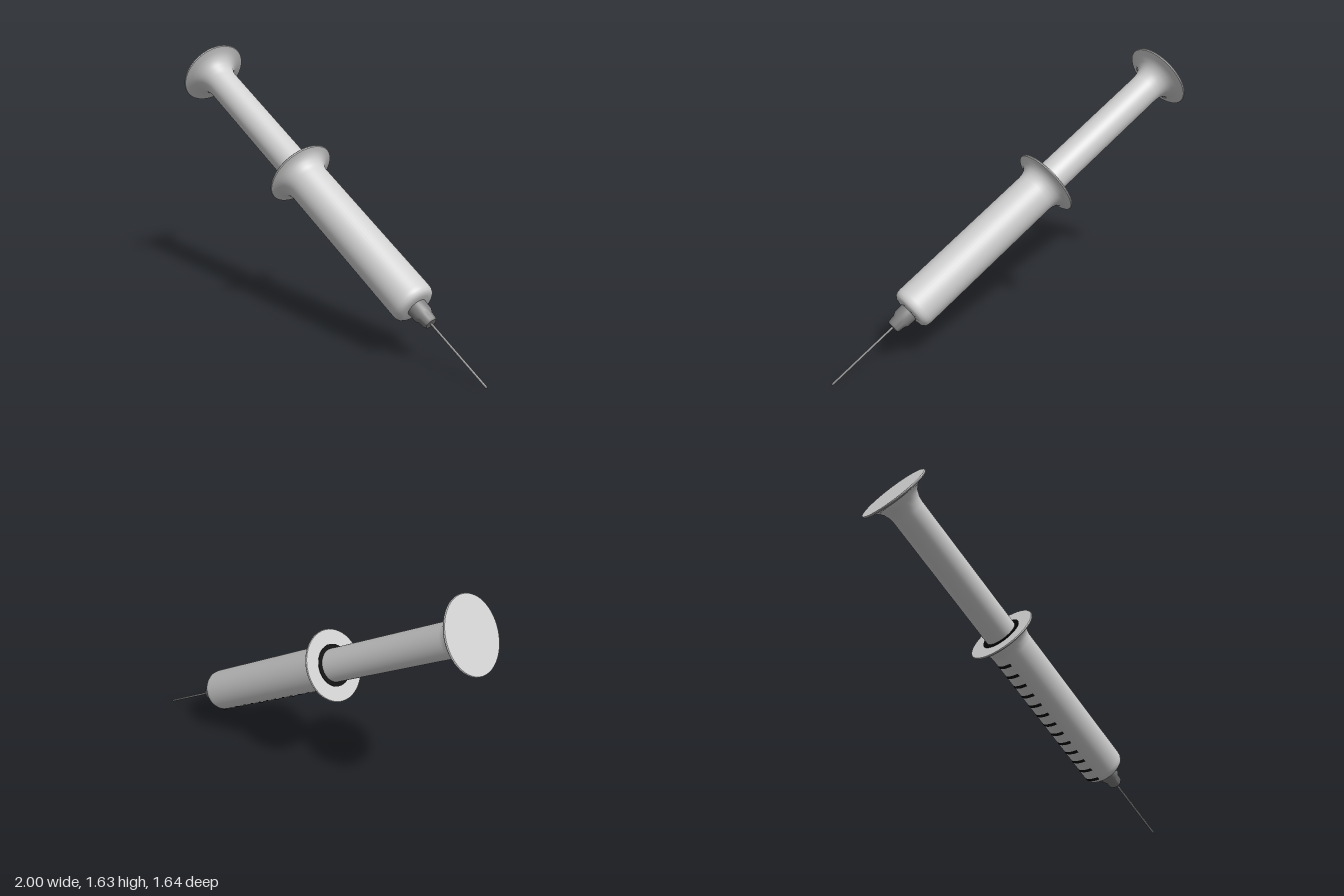
import * as THREE from 'three';
import { toCreasedNormals } from 'three/addons/utils/BufferGeometryUtils.js';

const flat = (name, color) => {
  const m = new THREE.MeshStandardMaterial({ color });
  m.name = name;
  return m;
};

export function createModel() {
  const plastic = flat('lightPlastic', 0xd0d0d0);
  const metal = flat('greyMetal', 0x808080);
  const black = flat('black', 0x050505);

  const group = new THREE.Group();
  group.name = 'syringe';

  const add = (name, geometry, material, parent = group) => {
    const mesh = new THREE.Mesh(geometry, material);
    mesh.name = name;
    parent.add(mesh);
    return mesh;
  };
  // Turned part: [radius, distance from needle tip] pairs, from tip to thumb
  const turned = (profile, segments = 48) => toCreasedNormals(
    new THREE.LatheGeometry(profile.map(([r, t]) => new THREE.Vector2(r, t)), segments), 0.7);

  // Needle and its hub
  add('needle', turned([[0, 0], [0.007, 0.01], [0.007, 0.5]], 12), metal);
  add('hub', turned([
    [0, 0.462], [0.034, 0.462], [0.042, 0.472], [0.046, 0.51], [0.057, 0.53], [0.06, 0.61],
  ], 32), metal);

  // Barrel with rounded nose and flared finger flange
  add('barrel', turned([
    [0, 0.588], [0.085, 0.588], [0.108, 0.592], [0.122, 0.603], [0.13, 0.62], [0.132, 0.64],
    [0.132, 1.62], [0.136, 1.65], [0.148, 1.678], [0.168, 1.698], [0.192, 1.71], [0.214, 1.716],
    [0.217, 1.722], [0.214, 1.728], [0.09, 1.728],
  ]), plastic);

  // Dark gap around the plunger at the barrel mouth
  add('barrelMouth', turned([[0.126, 1.728], [0.126, 1.731], [0.09, 1.731]]), black);

  // Plunger rod with flared thumb rest
  add('plunger', turned([
    [0.1, 1.7], [0.1, 2.62], [0.104, 2.655], [0.118, 2.69], [0.143, 2.718], [0.176, 2.736],
    [0.214, 2.745], [0.217, 2.751], [0.214, 2.757], [0, 2.757],
  ]), plastic);

  // Volume marks wrapped along one side of the barrel
  const marks = new THREE.Group();
  marks.name = 'volumeMarks';
  group.add(marks);
  const arc = 0.87;
  const markShape = new THREE.CylinderGeometry(0.1345, 0.1345, 0.02, 10, 1, true, -arc / 2, arc);
  for (let i = 0; i < 14; i++) {
    add('volumeMark', markShape, black, marks).position.y = 0.637 + i * 0.0785;
  }

  // Tilt the whole body: local y runs from needle tip to thumb rest, local z faces the marks
  const axis = new THREE.Vector3(-1.84, 1.45, -1.455).normalize();
  const side = new THREE.Vector3().crossVectors(axis, new THREE.Vector3(-0.26, -0.83, -0.5)).normalize();
  const front = new THREE.Vector3().crossVectors(side, axis);
  group.quaternion.setFromRotationMatrix(new THREE.Matrix4().makeBasis(side, axis, front));
  group.position.set(1, 0.004, 0.815);

  const model = new THREE.Group();
  model.name = 'model';
  model.add(group);
  return model;
}
